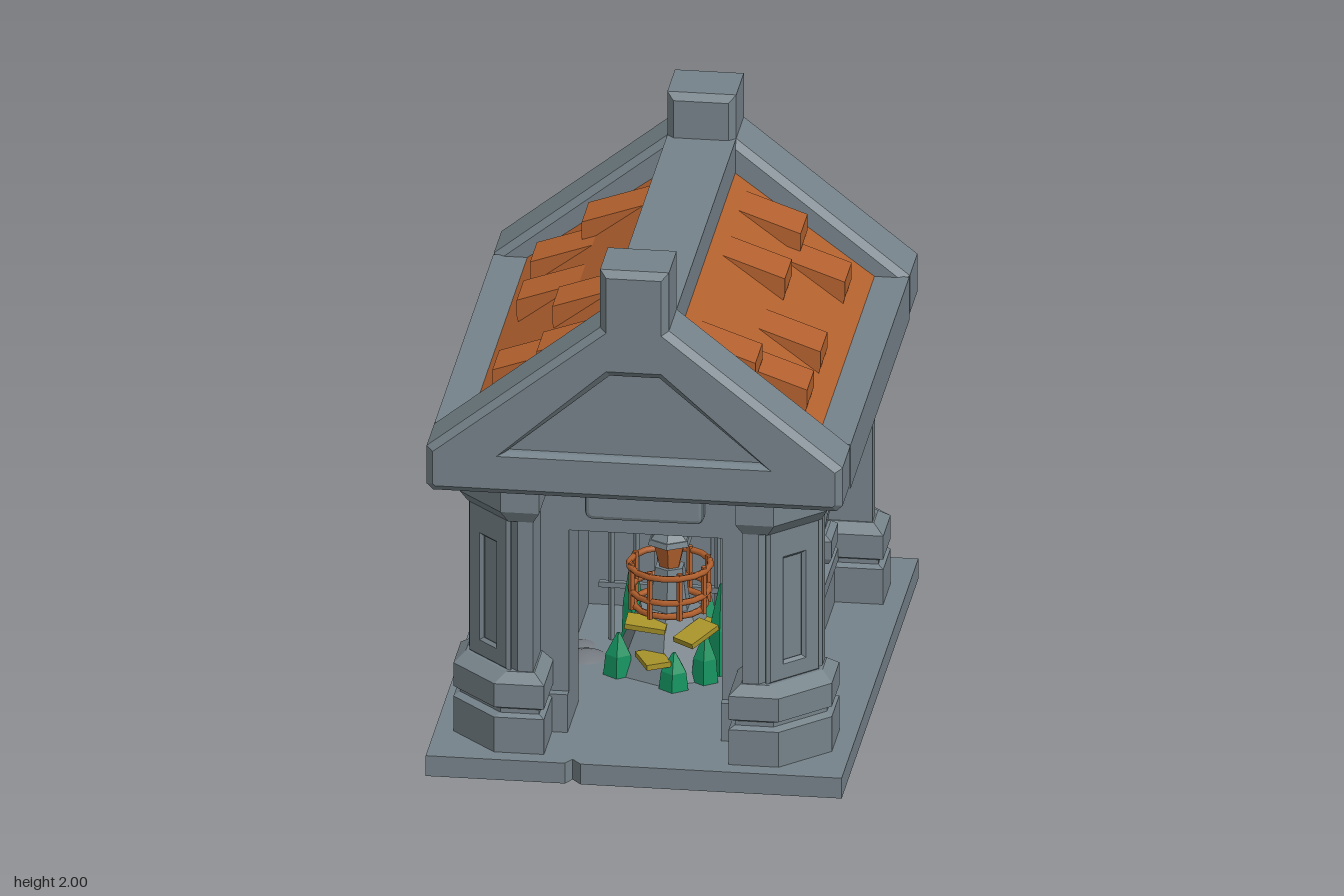
import * as THREE from 'three';

const mat = (name, color) => Object.assign(new THREE.MeshStandardMaterial({ color }), { name });
const M = {
  stone: mat('stone', 0x76838a),
  cloud: mat('cloud grey', 0x747a80),
  tile: mat('orange tile', 0xb5622f),
  olive: mat('olive peg', 0x85851f),
  green: mat('green crystal', 0x14925f),
  gold: mat('gold', 0xa8942a),
};

function add(parent, name, geo, m = M.stone, x = 0, y = 0, z = 0) {
  const mesh = new THREE.Mesh(geo, m);
  mesh.name = name;
  mesh.position.set(x, y, z);
  parent.add(mesh);
  return mesh;
}
const flat = (g) => { const n = g.index ? g.toNonIndexed() : g; n.computeVertexNormals(); return n; };
const poly = (pts) => new THREE.Shape(pts.map(([x, y]) => new THREE.Vector2(x, y)));
const rect = (x0, y0, x1, y1) => [[x0, y0], [x1, y0], [x1, y1], [x0, y1]];

// Box given by its low and high corners
function block(parent, name, x0, x1, y0, y1, z0, z1, m) {
  return add(parent, name, new THREE.BoxGeometry(x1 - x0, y1 - y0, z1 - z0), m,
    (x0 + x1) / 2, (y0 + y1) / 2, (z0 + z1) / 2);
}

// Extrude an outline from z0 to z1, with an optional hole and inward bevel
function slice(pts, z0, z1, hole, bevel = 0) {
  const s = poly(pts);
  if (hole) s.holes.push(poly(hole));
  const g = new THREE.ExtrudeGeometry(s, {
    depth: z1 - z0 - 2 * bevel, bevelEnabled: bevel > 0, bevelThickness: bevel,
    bevelSize: bevel, bevelOffset: -bevel, bevelSegments: 1,
  });
  return g.translate(0, 0, z0 + bevel);
}

// Loft convex floor plans [[x, z], ...] stacked at heights
function loft(sections) {
  const p = [], n = sections[0][0].length, a0 = sections[0][0];
  let area = 0;
  a0.forEach(([x, z], i) => { const [u, v] = a0[(i + 1) % n]; area += x * v - u * z; });
  const tri = (a, b, c) => p.push(...(area > 0 ? [...a, ...c, ...b] : [...a, ...b, ...c]));
  const at = (s, i) => [s[0][i % n][0], s[1], s[0][i % n][1]];
  for (let k = 0; k < sections.length - 1; k++) {
    const [A, B] = [sections[k], sections[k + 1]];
    for (let i = 0; i < n; i++) {
      tri(at(A, i), at(A, i + 1), at(B, i + 1));
      tri(at(A, i), at(B, i + 1), at(B, i));
    }
  }
  const top = sections[sections.length - 1], bot = sections[0];
  for (let i = 1; i < n - 1; i++) {
    tri(at(top, 0), at(top, i), at(top, i + 1));
    tri(at(bot, 0), at(bot, i + 1), at(bot, i));
  }
  const g = new THREE.BufferGeometry();
  g.setAttribute('position', new THREE.Float32BufferAttribute(p, 3));
  g.computeVertexNormals();
  return g;
}

// Corner pillar with a chamfered outer corner and a sunken panel on it
function pillar(parent, side) {
  const g = new THREE.Group();
  g.name = 'pillar';
  parent.add(g);
  const c = 0.15;
  const plan = (o, cut = c) => {
    const x0 = 0.335 - o, x1 = 0.565 + o, z0 = 0.55 - o, z1 = 0.79 + o;
    return [[x0, z0], [x1, z0], [x1, z1 - cut], [x1 - cut, z1], [x0, z1]].map(([x, z]) => [x * side, z]);
  };
  add(g, 'pillarBase', loft([[plan(0.04), 0.29], [plan(0.04), 0.42], [plan(0.022), 0.43], [plan(0.022), 0.445],
    [plan(0.04), 0.455], [plan(0.04), 0.535], [plan(0.005), 0.565]]));
  add(g, 'pillarShaft', loft([[plan(0, c + 0.03), 0.56], [plan(0, c + 0.03), 1.1]]));
  add(g, 'pillarCapital', loft([[plan(0), 1.08], [plan(0.022), 1.12], [plan(0.022), 1.21]]));
  const w = c * Math.SQRT1_2;
  const frame = add(g, 'pillarPanelFrame', slice(rect(-w, 0.56, w, 1.09), -0.022, 0, rect(-0.035, 0.63, 0.035, 0.98), 0.01),
    M.stone, side * (0.565 - c / 2), 0, 0.79 - c / 2);
  frame.rotation.y = side * Math.PI / 4;
}

// Gable slab with finial and sunken triangular panel
function gable(parent, top) {
  const half = [[0.665, 1.23], [0.665, 1.36], [0.11, 1.8], [0.11, top]];
  const left = half.map(([x, y]) => [-x, y]).reverse();
  const hole = [[-0.41, 1.355], [0.41, 1.355], [0.08, 1.635], [-0.08, 1.635]];
  add(parent, 'gable', slice([[-0.645, 1.21], [0.645, 1.21], ...half, ...left], 0.67, 0.89, hole, 0.022));
  add(parent, 'gablePanel', slice(rect(-0.44, 1.34, 0.44, 1.35).slice(0, 2).concat([[0.09, 1.65], [-0.09, 1.65]]), 0.675, 0.85));
}

// One roof slope with its raised tiles
function roofSide(parent) {
  add(parent, 'roofSlope', slice([[0, 1.3], [0.555, 1.3], [0.555, 1.36], [0.11, 1.69], [0, 1.69]], -0.67, 0.67), M.tile);
  block(parent, 'eaveBeam', 0.555, 0.665, 1.21, 1.36, -0.68, 0.68);
  const row = (x, y, zs) => zs.forEach((z) => add(parent, 'raisedTile',
    slice([[x, y], [x + 0.2, y - 0.07], [x + 0.2, y - 0.125], [x + 0.19, y - 0.16], [x, y - 0.03]], z - 0.08, z + 0.08), M.tile));
  row(0.15, 1.66, [0.525, -0.16, -0.525]);
  row(0.305, 1.545, [0.45, 0.14, -0.425]);
}

// Side wall with skirting, torch and chipped stones
function sideWall(parent) {
  block(parent, 'sideWall', 0.32, 0.42, 0.29, 1.22, -0.6, 0.6);
  block(parent, 'skirting', 0.4, 0.45, 0.29, 0.43, -0.58, 0.58);
  add(parent, 'skirtingRail', slice([[0.4, 0.44], [0.46, 0.44], [0.46, 0.485], [0.44, 0.5], [0.4, 0.5]], -0.58, 0.58));
  const torch = new THREE.Group();
  torch.name = 'wallTorch';
  parent.add(torch);
  const plan = (w, d) => [[0.41, -w], [0.41 + d, -w], [0.41 + d, w], [0.41, w]];
  add(torch, 'torchStem', loft([[plan(0.045, 0.05), 0.44], [plan(0.045, 0.06), 0.63], [plan(0.058, 0.07), 0.69]]));
  add(torch, 'torchCup', loft([[plan(0.07, 0.1), 0.68], [plan(0.078, 0.11), 0.7], [plan(0.078, 0.11), 0.76], [plan(0.06, 0.09), 0.775]]));
  add(torch, 'torchFlame', slice([[0.41, 0.77], [0.49, 0.77], [0.5, 0.83], [0.43, 0.94], [0.41, 0.94]], -0.055, 0.02));
  add(torch, 'torchFlameTip', slice([[0.41, 0.77], [0.48, 0.77], [0.48, 0.83], [0.42, 0.9], [0.41, 0.9]], 0.02, 0.055));
  [[0.32, 1.02], [0.4, 0.72], [0.22, 0.62], [-0.2, 0.98], [-0.35, 0.8], [-0.28, 0.62], [-0.42, 1.06]].forEach(([z, y], i) => {
    const chip = add(parent, 'wallChip', new THREE.CylinderGeometry(0.02, 0.024, 0.008, 5), M.stone, 0.422, y, z);
    chip.rotation.set(i, 0, -Math.PI / 2);
  });
}

// Small shrine scene inside the room
function shrine(parent) {
  const g = new THREE.Group();
  g.name = 'shrine';
  g.position.z = 0.05;
  parent.add(g);
  const cyl = (name, r1, r0, y0, y1, n, m, x = 0, z = 0) =>
    add(g, name, flat(new THREE.CylinderGeometry(r1, r0, y1 - y0, n)), m, x, (y0 + y1) / 2, z);
  cyl('rockMound', 0.1, 0.19, 0.3, 0.5, 7, M.stone);
  [[-0.15, 0.1, 0.05, 0.44], [0.17, 0.04, 0.045, 0.6], [0.04, 0.19, 0.05, 0.42], [0.13, 0.12, 0.045, 0.46],
    [-0.13, -0.1, 0.04, 0.63], [0.1, -0.15, 0.045, 0.5]].forEach(([x, z, r, top]) => {
    cyl('crystal', r * 0.85, r, 0.3, 0.3 + (top - 0.3) * 0.5, 5, M.green, x, z);
    cyl('crystalTip', 0.006, r * 0.85, 0.3 + (top - 0.3) * 0.5, top, 5, M.green, x, z);
  });
  [[-0.06, 0.48, 0.11], [0.1, 0.46, 0.12], [-0.03, 0.385, 0.17], [0.15, 0.44, 0.02]].forEach(([x, y, z], i) => {
    const s = add(g, 'goldLedge', new THREE.BoxGeometry(0.13, 0.018, 0.08), M.gold, x, y, z);
    s.rotation.set(0.1, i, (i % 2 ? 0.12 : -0.12));
  });
  // Railing and lantern
  [[0.51, 0.115], [0.56, 0.125], [0.645, 0.13]].forEach(([y, r]) => {
    add(g, 'railingRing', new THREE.TorusGeometry(r, 0.011, 5, 16), M.tile, 0, y, 0).rotation.x = Math.PI / 2;
  });
  for (let i = 0; i < 8; i++) {
    const a = (i + 0.5) * Math.PI / 4;
    cyl('railingPost', 0.01, 0.01, 0.5, 0.66, 5, M.tile, 0.125 * Math.sin(a), 0.125 * Math.cos(a));
  }
  cyl('lanternFoot', 0.05, 0.07, 0.5, 0.64, 6, M.stone);
  cyl('lanternBody', 0.055, 0.035, 0.64, 0.72, 6, M.tile);
  cyl('lanternBrim', 0.07, 0.075, 0.72, 0.738, 6, M.stone);
  cyl('lanternRoof', 0.02, 0.065, 0.738, 0.79, 6, M.stone);
  for (let i = 0; i < 4; i++) {
    add(g, 'chainLink', new THREE.TorusGeometry(0.016, 0.005, 5, 10), M.stone, 0, 0.805 + i * 0.026, 0).rotation.y = i * Math.PI / 2;
  }
  cyl('lanternHook', 0.035, 0.025, 0.89, 0.95, 6, M.stone);
  // Spear fence and bare branches behind
  [-0.21, -0.13, 0.13, 0.21].forEach((x, i) => {
    const top = i % 3 ? 0.84 : 0.78;
    cyl('fenceBar', 0.01, 0.01, 0.3, top, 5, M.stone, x, -0.17);
    cyl('fenceSpear', 0.001, 0.02, top, top + 0.06, 4, M.stone, x, -0.17);
  });
  [0.48, 0.71].forEach((y) => block(g, 'fenceRail', -0.25, 0.25, y, y + 0.018, -0.18, -0.16));
  [-1, 1].forEach((s) => {
    const path = new THREE.CatmullRomCurve3([[0.05, 0.74], [0.13, 0.78], [0.19, 0.8], [0.25, 0.87]]
      .map(([x, y]) => new THREE.Vector3(s * x, y + (s < 0 ? 0.1 : 0), -0.2)));
    add(g, 'branch', new THREE.TubeGeometry(path, 12, 0.012, 5), M.stone);
  });
  block(g, 'rearPost', -0.09, 0.09, 0.3, 1.2, -0.4, -0.3);
}

export function createModel() {
  const model = new THREE.Group();
  model.name = 'crypt';

  // Peg and cloud puffs beneath the floor slab
  add(model, 'hexPeg', flat(new THREE.CylinderGeometry(0.255, 0.255, 0.235, 6)), M.olive, 0, 0.1175, 0);
  [[-0.27, 0.2, 0.03, 0.13], [-0.14, 0.19, 0.12, 0.1], [-0.13, 0.2, -0.13, 0.11], [0.25, 0.22, 0, 0.15],
    [0.12, 0.19, 0.13, 0.1], [0.15, 0.2, -0.13, 0.11], [-0.3, 0.22, -0.06, 0.1]].forEach(([x, y, z, r]) => {
    const puff = add(model, 'cloudPuff', new THREE.SphereGeometry(r, 20, 14), M.cloud, x, y, z);
    puff.scale.y = 0.9;
  });

  // Floor slab with a chipped notch front and back
  const edge = [[0.665, 0.89], [-0.17, 0.89], [-0.2, 0.855], [-0.22, 0.89], [-0.665, 0.89]];
  const plan = [...edge, ...edge.map(([x, z]) => [-x, -z])];
  add(model, 'floorSlab', slice(plan, -0.3, -0.23).rotateX(Math.PI / 2));

  // Everything with half-turn symmetry
  [0, 1].forEach((k) => {
    const half = new THREE.Group();
    half.name = k ? 'backHalf' : 'frontHalf';
    half.rotation.y = k * Math.PI;
    model.add(half);
    [-1, 1].forEach((s) => {
      pillar(half, s);
      const x0 = k ? 0 : 0.245;
      block(half, 'endSkirting', s < 0 ? -0.4 : x0, s < 0 ? -x0 : 0.4, 0.29, 0.43, 0.58, 0.645);
    });
    gable(half, k ? 1.95 : 2);
    roofSide(half);
    sideWall(half);
    const door = k ? null : rect(-0.245, 0.295, 0.245, 0.985);
    add(half, 'endWall', slice(rect(-0.42, 0.29, 0.42, 1.22), 0.39, 0.615, door));
  });

  block(model, 'ridgeBeam', -0.11, 0.11, 1.55, 1.8, -0.69, 0.69);
  block(model, 'ceiling', -0.6, 0.6, 1.21, 1.32, -0.69, 0.69);

  // Rounded blank plaque above the door
  const plaque = new THREE.Shape();
  plaque.moveTo(-0.16, 1.04).lineTo(0.16, 1.04).quadraticCurveTo(0.19, 1.04, 0.19, 1.07).lineTo(0.19, 1.115)
    .quadraticCurveTo(0.19, 1.145, 0.16, 1.145).lineTo(-0.16, 1.145).quadraticCurveTo(-0.19, 1.145, -0.19, 1.115)
    .lineTo(-0.19, 1.07).quadraticCurveTo(-0.19, 1.04, -0.16, 1.04);
  add(model, 'doorPlaque', new THREE.ExtrudeGeometry(plaque, {
    depth: 0.04, bevelThickness: 0.015, bevelSize: 0.015, bevelOffset: -0.015, bevelSegments: 2, curveSegments: 5,
  }), M.stone, 0, 0, 0.6);

  shrine(model);
  return model;
}
